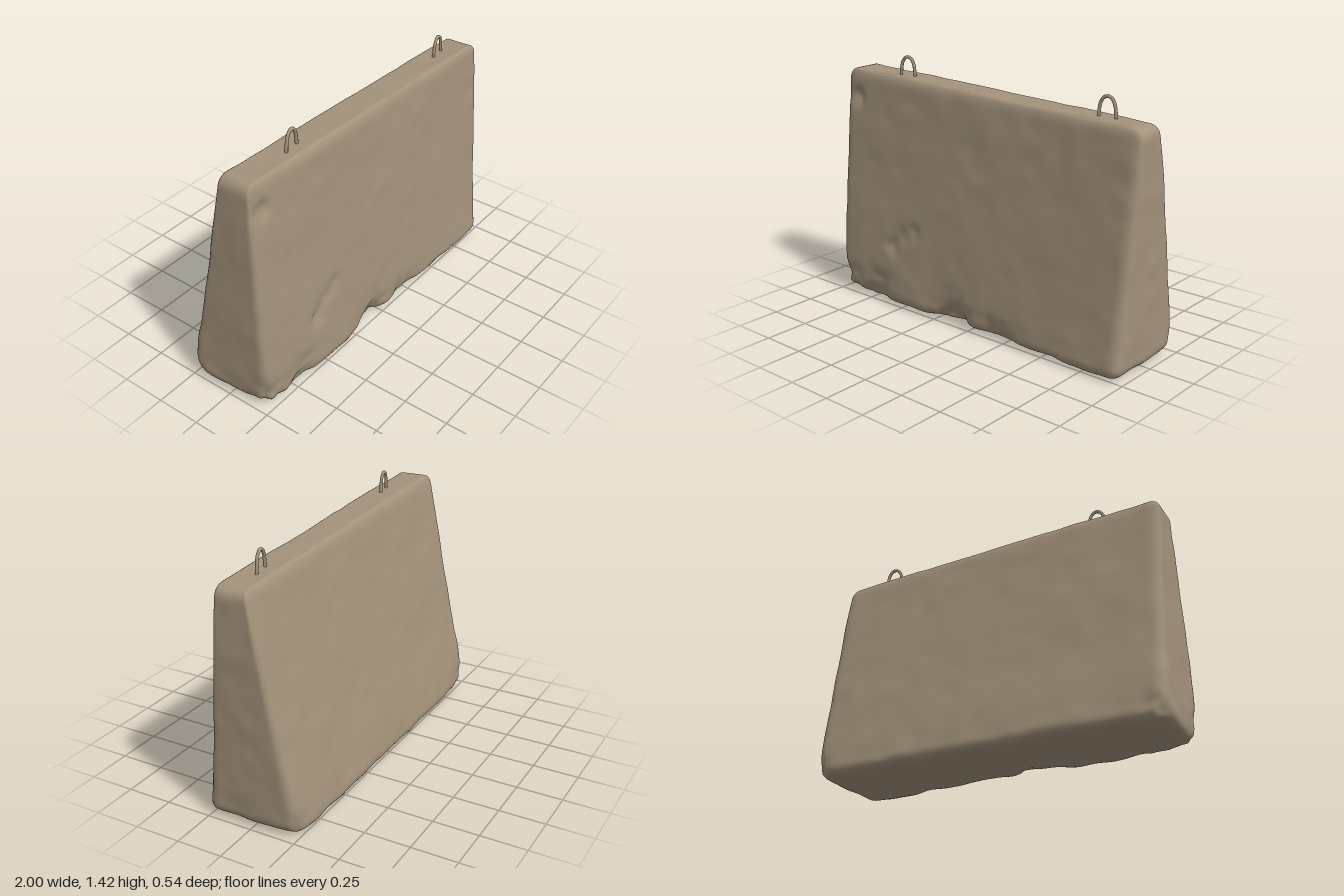
import * as THREE from 'three';
import { mergeVertices } from 'three/addons/utils/BufferGeometryUtils.js';

const lerp = THREE.MathUtils.lerp;

// Seeded smooth value noise in the range -1..1
function hash(x, y, z) {
  const s = Math.sin(x * 127.1 + y * 311.7 + z * 74.7) * 43758.5453;
  return (s - Math.floor(s)) * 2 - 1;
}
function noise(x, y, z) {
  const i = Math.floor(x), j = Math.floor(y), k = Math.floor(z);
  const ease = t => t * t * (3 - 2 * t);
  const u = ease(x - i), v = ease(y - j), w = ease(z - k);
  const row = (b, c) => lerp(hash(i, b, c), hash(i + 1, b, c), u);
  const slab = c => lerp(row(j, c), row(j + 1, c), v);
  return lerp(slab(k), slab(k + 1), w);
}

// Dents: centre x, y, z, radius, and inward push x, y, z
const DENTS = [
  [-0.56, 0.36, 0.25, 0.05, 0, 0, -0.02],
  [-0.49, 0.43, 0.25, 0.04, 0, 0, -0.018],
  [-0.41, 0.47, 0.24, 0.04, 0, 0, -0.012],
  [-0.88, 1.16, 0.18, 0.045, 0.01, 0, -0.025],
  [-1.0, 0.02, 0.26, 0.13, 0.03, 0.015, -0.035],
  [-0.7, 0.02, 0.27, 0.12, 0, 0.015, -0.04],
  [-0.1, 0.02, 0.27, 0.12, 0, 0.015, -0.04],
  [0.2, 0.02, 0.27, 0.1, 0, 0.01, -0.03],
  [0.98, 0.05, -0.27, 0.07, -0.02, 0.01, 0.02],
  [-0.95, 0.04, -0.27, 0.08, 0.025, 0.01, 0.02],
];

// Tapered, worn concrete block with rounded edges
function blockGeometry() {
  const W = 1, H = 1.3, D = 0.27, R = 0.06;
  const geo = new THREE.BoxGeometry(2 * W, H, 2 * D, 100, 66, 28);
  geo.translate(0, H / 2, 0);
  geo.deleteAttribute('uv');
  geo.deleteAttribute('normal');
  const pos = geo.attributes.position;
  const p = new THREE.Vector3(), n = new THREE.Vector3(), c = new THREE.Vector3();
  const low = new THREE.Vector3(-W + R, R, -D + R), high = new THREE.Vector3(W - R, H - R, D - R);
  for (let i = 0; i < pos.count; i++) {
    // round the edges
    p.fromBufferAttribute(pos, i);
    c.copy(p).clamp(low, high);
    n.subVectors(p, c).normalize();
    p.copy(c).addScaledVector(n, R);

    // taper upwards, lean the ends and slope the top
    const t = p.y / H, s = (p.x + 1) / 2;
    const x = lerp(lerp(-1, -0.95, t), lerp(0.975, 0.995, Math.min(1, t * 1.4)), s);
    const back = lerp(-0.28, lerp(-0.015, -0.025, s), t);
    const front = lerp(0.27, lerp(0.175, 0.16, s), t);
    const z = lerp(back, front, (p.z / D + 1) / 2);
    const y = 0.01 + t * lerp(1.315, 1.24, s);
    p.set(x, y, z);

    // uneven surface, rougher near the bottom edges
    const edge = Math.max(0, 1 - y / 0.22);
    const rough = 0.004 * noise(x * 4, y * 4, z * 4) + 0.0025 * noise(x * 11, y * 11, z * 11)
      + edge * 0.008 * noise(x * 9 + 5, y * 12, z * 9);
    p.addScaledVector(n, rough);

    // chips and dents
    for (const [dx, dy, dz, r, px, py, pz] of DENTS) {
      const d2 = (x - dx) ** 2 + (y - dy) ** 2 + (z - dz) ** 2;
      const f = Math.exp(-d2 / (r * r)) * (1 + 0.5 * noise(x * 20, y * 20, z * 20));
      p.x += px * f; p.y += py * f; p.z += pz * f;
    }
    p.y = Math.max(0, p.y);
    pos.setXYZ(i, p.x, p.y, p.z);
  }
  const merged = mergeVertices(geo, 1e-5);
  merged.computeVertexNormals();
  return merged;
}

// Bent steel bar used for lifting, feet sunk into the block
function loopGeometry() {
  const path = new THREE.CatmullRomCurve3([
    [-0.048, -0.04], [-0.045, 0.02], [-0.036, 0.068], [-0.018, 0.094], [0, 0.1],
    [0.018, 0.094], [0.036, 0.068], [0.045, 0.02], [0.048, -0.04],
  ].map(([x, y]) => new THREE.Vector3(x, y, 0)));
  return new THREE.TubeGeometry(path, 32, 0.009, 8);
}

export function createModel() {
  const group = new THREE.Group();
  group.name = 'concreteBarrier';
  const concrete = new THREE.MeshStandardMaterial({ color: 0xa3927b });
  concrete.name = 'concrete';

  const block = new THREE.Mesh(blockGeometry(), concrete);
  block.name = 'block';
  group.add(block);

  // two lifting loops on the top
  const loop = loopGeometry();
  [['rightLiftingLoop', -0.558, 1.312, 0.095], ['leftLiftingLoop', 0.738, 1.262, 0.061]].forEach(([name, x, y, z]) => {
    const mesh = new THREE.Mesh(loop, concrete);
    mesh.name = name;
    mesh.position.set(x, y, z);
    mesh.rotation.y = 0.15;
    group.add(mesh);
  });
  return group;
}
